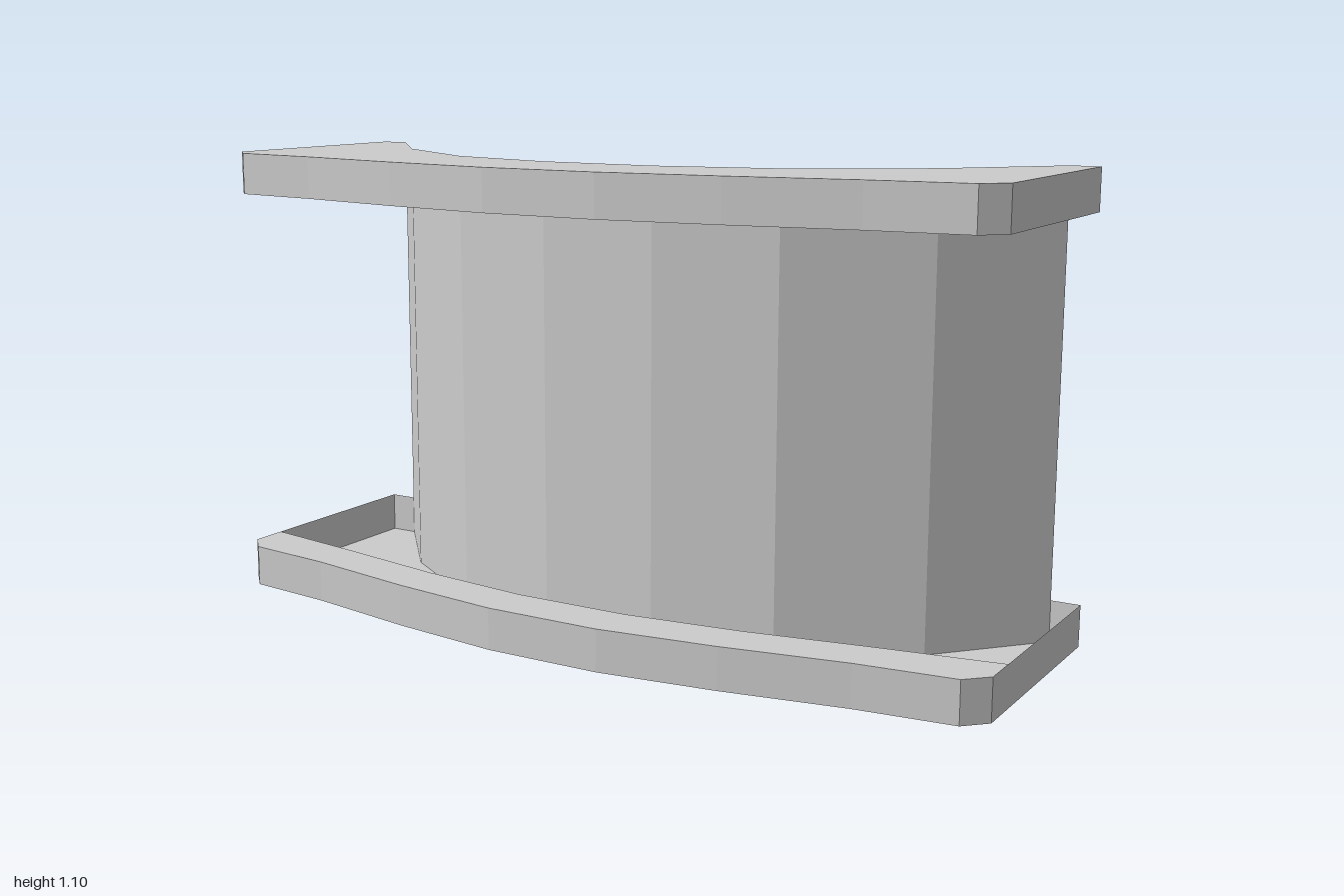
import * as THREE from 'three';

const HEIGHT = 1.1, BAND = 0.1, LIP = 0.03;

// Mirrors a right-to-centre list of [x, z] points into a full left-right path
const mirrored = (half) => [...half, ...half.slice().reverse().map(([x, z]) => [-x, z])];

// Plan curves, as [x, z]
const back = mirrored([[0.93, -0.365], [0.72, -0.125], [0.43, 0.06], [0.145, 0.125]]);
const front = mirrored([[1, 0.2], [0.95, 0.25], [0.72, 0.275], [0.43, 0.327], [0.145, 0.363]]);
const ledgeInner = mirrored([[1, 0.11], [0.72, 0.155], [0.43, 0.207], [0.145, 0.24]]);
const rim = [[0.93, -0.365], [1, -0.365], ...front, [-1, -0.365], [-0.93, -0.365]];

// Upright faceted strip following a plan path
function ribbon(path, y0, y1) {
  const pos = [];
  for (let i = 0; i < path.length - 1; i++) {
    const [ax, az] = path[i], [bx, bz] = path[i + 1];
    pos.push(ax, y0, az, ax, y1, az, bx, y1, bz);
    pos.push(ax, y0, az, bx, y1, bz, bx, y0, bz);
  }
  const geo = new THREE.BufferGeometry();
  geo.setAttribute('position', new THREE.Float32BufferAttribute(pos, 3));
  geo.computeVertexNormals();
  return geo;
}

// Flat horizontal sheet bounded by a plan outline
function sheet(outline, y) {
  const shape = new THREE.Shape(outline.map(([x, z]) => new THREE.Vector2(x, z)));
  return new THREE.ShapeGeometry(shape).rotateX(Math.PI / 2).translate(0, y, 0);
}

export function createModel() {
  const group = new THREE.Group();
  const grey = new THREE.MeshStandardMaterial({ color: 0xcccccc, side: THREE.DoubleSide });
  grey.name = 'light grey';

  const add = (name, geo) => {
    const mesh = new THREE.Mesh(geo, grey);
    mesh.name = name;
    group.add(mesh);
  };

  // Curved wall running the full height
  add('curvedWall', ribbon(back, 0, HEIGHT));

  // Hollow bands: the lower opens upward, the upper opens downward
  const plan = [...rim, ...back.slice(1, -1).reverse()];
  const ledge = [...front, ...ledgeInner.slice().reverse()];
  for (const [name, level] of [['lower', (y) => y], ['upper', (y) => HEIGHT - y]]) {
    add(name + 'Panel', sheet(plan, level(0)));
    add(name + 'Rim', ribbon(rim, level(0), level(BAND)));
    add(name + 'Ledge', sheet(ledge, level(BAND)));
    add(name + 'LedgeLip', ribbon(ledgeInner, level(BAND - LIP), level(BAND)));
  }
  return group;
}
